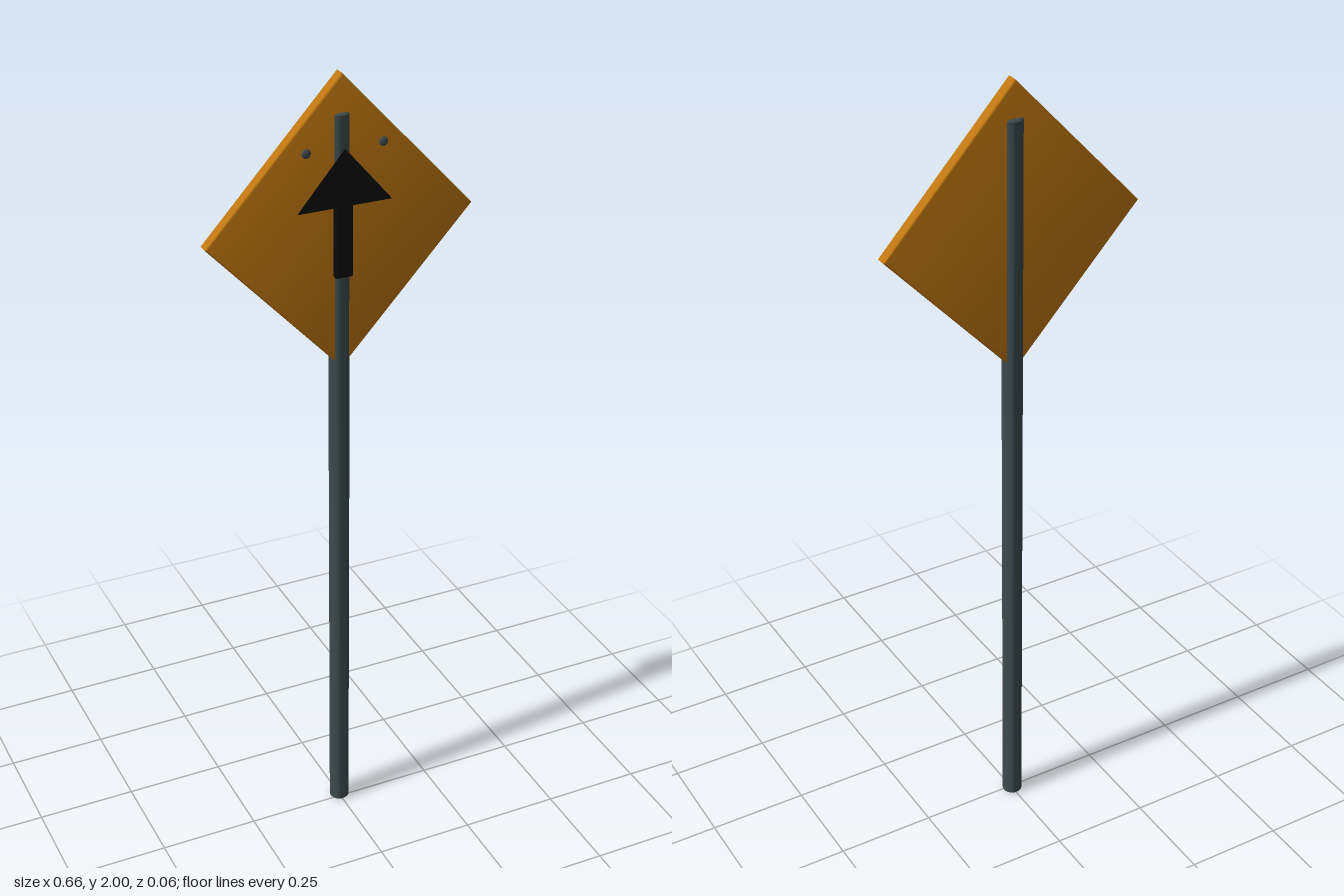
import * as THREE from 'three';
import { toCreasedNormals } from 'three/addons/utils/BufferGeometryUtils.js';
import { RoundedBoxGeometry } from 'three/addons/geometries/RoundedBoxGeometry.js';

const material = (name, color) => Object.assign(new THREE.MeshStandardMaterial({ color }), { name });

export function createModel() {
  const orange = material('sign orange', 0xbf7610);
  const steel = material('dark steel', 0x3e4a4d);
  const black = material('arrow black', 0x0b0b0b);
  black.side = THREE.DoubleSide;

  const group = new THREE.Group();
  group.name = 'roadSign';
  const add = (name, geometry, mat, x, y, z) => {
    const mesh = new THREE.Mesh(geometry, mat);
    mesh.name = name;
    mesh.position.set(x, y, z);
    group.add(mesh);
    return mesh;
  };
  const polygon = (points) => new THREE.Shape(points.map(([x, y]) => new THREE.Vector2(x, y)));

  // Round post with slightly softened ends
  const r = 0.025, top = 1.91, c = 0.004;
  const profile = [[0, 0], [r - c, 0], [r, c], [r, top - c], [r - c, top], [0, top]]
    .map(([x, y]) => new THREE.Vector2(x, y));
  add('post', toCreasedNormals(new THREE.LatheGeometry(profile, 24), 0.6), steel, 0, 0, -0.008);

  // Diamond board with rounded rims
  const bevel = 0.005, w = 0.332, h = 0.3575;
  const board = new THREE.ExtrudeGeometry(polygon([[0, -h], [w, 0], [0, h], [-w, 0]]), {
    depth: 0.03 - 2 * bevel, bevelEnabled: true, bevelThickness: bevel,
    bevelSize: bevel, bevelOffset: -bevel, bevelSegments: 3,
  });
  add('board', toCreasedNormals(board, 0.6), orange, 0, 2 - h, -0.021 + bevel);

  // Arrow: raised shaft and flat triangular head
  add('arrowShaft', new RoundedBoxGeometry(0.043, 0.24, 0.024, 2, 0.004), black, 0, 1.64, 0.012);
  add('arrowHead', new THREE.ShapeGeometry(polygon([[-0.117, 0], [0.117, 0], [0, 0.137]])),
    black, 0, 1.695, 0.0245);

  // Pair of flattened bolt heads
  for (const side of [-1, 1]) {
    add('bolt', new THREE.SphereGeometry(0.011, 16, 12), steel, side * 0.094, 1.835, 0.025)
      .scale.z = 0.5;
  }
  return group;
}
